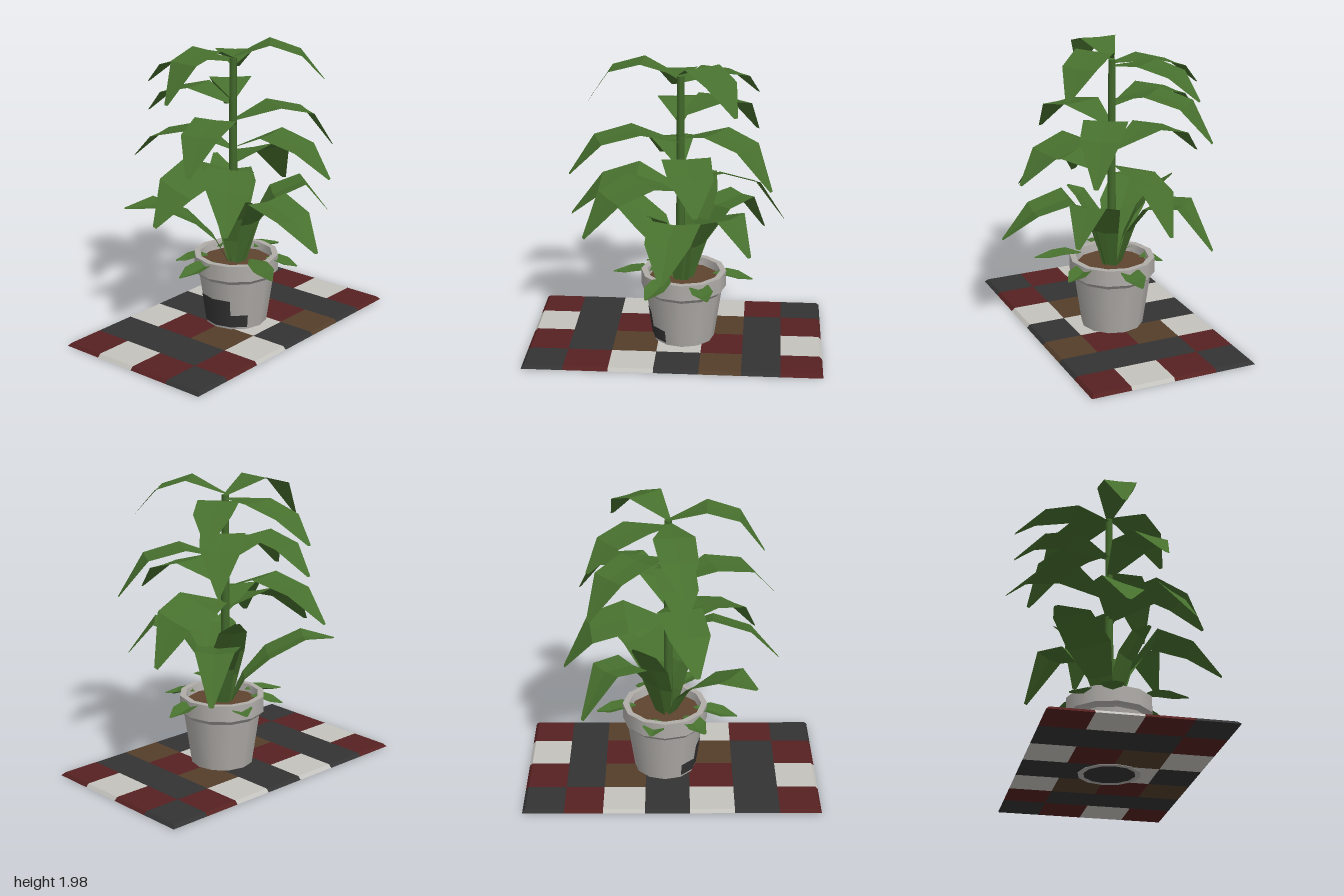
import * as THREE from 'three';
import { mergeGeometries } from 'three/addons/utils/BufferGeometryUtils.js';

const mat = (name, color, extra = {}) => {
  const m = new THREE.MeshStandardMaterial({ color, ...extra });
  m.name = name;
  return m;
};

export function createModel() {
  const model = new THREE.Group();
  model.name = 'pottedPlant';
  const colours = {
    R: mat('red', 0x562121),
    D: mat('charcoal', 0x333333),
    W: mat('paleGrey', 0xc4c2bd),
    B: mat('brown', 0x543e2b),
  };
  const potGrey = mat('potGrey', 0xb0ada9);
  const soilBrown = mat('soilBrown', 0x5e4430);
  const leafGreen = mat('leafGreen', 0x47702e, { side: THREE.DoubleSide, flatShading: true });
  const stemGreen = mat('stemGreen', 0x42692b);

  const add = (name, geometry, material, parent = model) => {
    const mesh = new THREE.Mesh(geometry, material);
    mesh.name = name;
    parent.add(mesh);
    return mesh;
  };

  // Chequered mat: one block per tile, outer top edges bevelled inward
  const xs = [-1, -0.72, -0.42, -0.12, 0.18, 0.46, 0.72, 1];
  const zs = [-0.6, -0.315, -0.02, 0.28, 0.555];
  const pattern = ['RDWDWRD', 'WDRDBDR', 'RDBWRDW', 'DRWDBDR'];
  const tiles = { R: [], D: [], W: [], B: [] };
  const bottom = 0.003, top = 0.024;
  pattern.forEach((row, j) => [...row].forEach((key, i) => {
    const g = new THREE.BoxGeometry(xs[i + 1] - xs[i], top - bottom, zs[j + 1] - zs[j]);
    g.translate((xs[i] + xs[i + 1]) / 2, (top + bottom) / 2, (zs[j] + zs[j + 1]) / 2);
    const p = g.attributes.position;
    for (let k = 0; k < p.count; k++) {
      if (p.getY(k) < 0.015) continue;
      p.setX(k, THREE.MathUtils.clamp(p.getX(k), -0.98, 0.98));
      p.setZ(k, THREE.MathUtils.clamp(p.getZ(k), -0.58, 0.535));
    }
    g.computeVertexNormals();
    tiles[key].push(g);
  }));
  const rug = new THREE.Group();
  rug.name = 'mat';
  model.add(rug);
  for (const key in tiles) add(`${colours[key].name}Tiles`, mergeGeometries(tiles[key]), colours[key], rug);

  // Pot: a lathe band per profile step keeps the rim edges crisp
  const pot = new THREE.Group();
  pot.name = 'pot';
  pot.position.set(0.047, 0, -0.01);
  model.add(pot);
  const lathe = (points, sides = 12, start = 0, sweep = Math.PI * 2) =>
    mergeGeometries(points.slice(1).map((b, i) => new THREE.LatheGeometry(
      [points[i], b].map(([x, y]) => new THREE.Vector2(x, y)), sides, start, sweep)));
  add('potBody', lathe([
    [0.17, 0], [0.208, 0], [0.262, 0.37], [0.274, 0.385], [0.291, 0.4],
    [0.291, 0.51], [0.25, 0.51], [0.24, 0.45],
  ]), potGrey, pot);
  add('potBase', new THREE.CircleGeometry(0.171, 12).rotateX(Math.PI / 2).translate(0, 0.001, 0), colours.D, pot);
  add('soil', new THREE.CircleGeometry(0.245, 12).rotateX(-Math.PI / 2).translate(0, 0.455, 0), soilBrown, pot);

  // Dark stain wrapped round the side of the pot
  const skin = (y) => [0.208 + (0.054 * y) / 0.37 + 0.003, y];
  const deg = Math.PI / 180;
  add('stain', mergeGeometries([
    lathe([skin(0.04), skin(0.13)], 4, 210 * deg, 120 * deg),
    lathe([skin(0.13), skin(0.24)], 2, 240 * deg, 60 * deg),
  ]), colours.D, pot);

  // Stem
  add('stem', new THREE.CylinderGeometry(0.024, 0.032, 1.42, 8).translate(0.024, 1.16, -0.018), stemGreen);

  // Leaf: three-wide strip swept through rows, creased along the middle;
  // roll tips one edge down
  function leaf(base, tip, heights, steps, halfWidths, fold, roll = 0) {
    const dx = tip[0] - base[0], dz = tip[1] - base[1];
    const len = Math.hypot(dx, dz);
    const sx = dz / len, sz = -dx / len;
    const verts = [], index = [];
    steps.forEach((t, i) => {
      for (const side of [-1, 0, 1]) {
        const w = side * halfWidths[i];
        verts.push(base[0] + dx * t + sx * w,
          heights[i] - (side ? 0 : fold * halfWidths[i]) + roll * w,
          base[1] + dz * t + sz * w);
      }
      if (i === 0) return;
      for (const c of [0, 1]) {
        const a = (i - 1) * 3 + c, b = i * 3 + c;
        index.push(a, b, a + 1, a + 1, b, b + 1);
      }
    });
    const g = new THREE.BufferGeometry();
    g.setAttribute('position', new THREE.Float32BufferAttribute(verts, 3));
    g.setIndex(index);
    g.computeVertexNormals();
    return g;
  }
  const foliage = new THREE.Group();
  foliage.name = 'foliage';
  model.add(foliage);

  // Stem leaves: tip x, tip z, half width, roll, then height at stem, crest, shoulder, tip
  [
    [0.40, 0.45, 0.135, 0, 1.88, 1.98, 1.91, 1.73],
    [-0.60, -0.045, 0.125, 0, 1.87, 1.97, 1.91, 1.67],
    [0.53, -0.40, 0.135, 0, 1.83, 1.88, 1.83, 1.67],
    [-0.07, -0.69, 0.135, 0, 1.85, 1.86, 1.79, 1.63],
    [-0.07, -0.69, 0.135, 0, 1.56, 1.66, 1.60, 1.43],
    [0.53, -0.50, 0.145, 0, 1.60, 1.68, 1.62, 1.38],
    [0.63, 0.36, 0.145, 0, 1.45, 1.54, 1.48, 1.22],
    [-0.69, 0.21, 0.145, 0, 1.42, 1.53, 1.48, 1.26],
    [0.16, 0.68, 0.16, 0, 1.26, 1.40, 1.33, 1.145],
    [-0.16, -0.75, 0.15, 0, 1.25, 1.37, 1.30, 1.11],
    [0.72, -0.12, 0.155, -0.3, 1.15, 1.20, 1.13, 0.86],
    [-0.72, -0.05, 0.155, -0.3, 1.10, 1.18, 1.10, 0.89],
    [-0.58, 0.42, 0.155, -0.1, 1.08, 1.20, 1.13, 0.89],
  ].forEach(([x, z, w, roll, ...h], i) => add(`stemLeaf${i + 1}`,
    leaf([0.024, -0.018], [x, z], h, [0, 0.4, 0.74, 1], [0.02, w, 0.9 * w, 0.015], 0.04, roll), leafGreen, foliage));

  // Broad blades arching up out of the soil
  [
    [-0.05, 0.74, 0.175, 0.45, 0.76, 0.97, 0.90, 0.71],
    [0.585, -0.49, 0.15, 0.45, 0.72, 0.93, 0.96, 0.66],
    [0.50, 0.43, 0.15, 0.45, 0.72, 0.94, 1.02, 0.79],
    [-0.55, -0.48, 0.16, 0.45, 0.63, 0.79, 0.91, 0.88],
    [0.24, -0.36, 0.11, 0.45, 0.66, 0.85, 1.02, 1.11],
    [-0.18, 0.22, 0.10, 0.45, 0.62, 0.80, 0.94, 0.98],
  ].forEach(([x, z, w, ...h], i) => add(`blade${i + 1}`,
    leaf([0.04, -0.01], [x, z], h, [0.07, 0.19, 0.4, 0.72, 1], [0.05, 0.09, w, 0.85 * w, 0.015], 0.12),
    leafGreen, foliage));

  // Small leaves lying over the pot rim
  [[-100, 0.5, 0], [-25, 0.52, 0.04], [25, 0.42, 0], [92, 0.47, 0], [-140, 0.42, 0], [165, 0.36, 0]]
    .forEach(([a, reach, lift], i) => {
      const [x, z] = [Math.sin(a * deg), Math.cos(a * deg)];
      add(`rimLeaf${i + 1}`, leaf([0.047 + 0.2 * x, 0.2 * z], [0.047 + reach * x, reach * z],
        [0.49, 0.5, 0.48, 0.45].map((y) => y + lift), [0, 0.35, 0.65, 1], [0.01, 0.07, 0.075, 0.01], 0.35),
      leafGreen, foliage);
    });

  return model;
}
